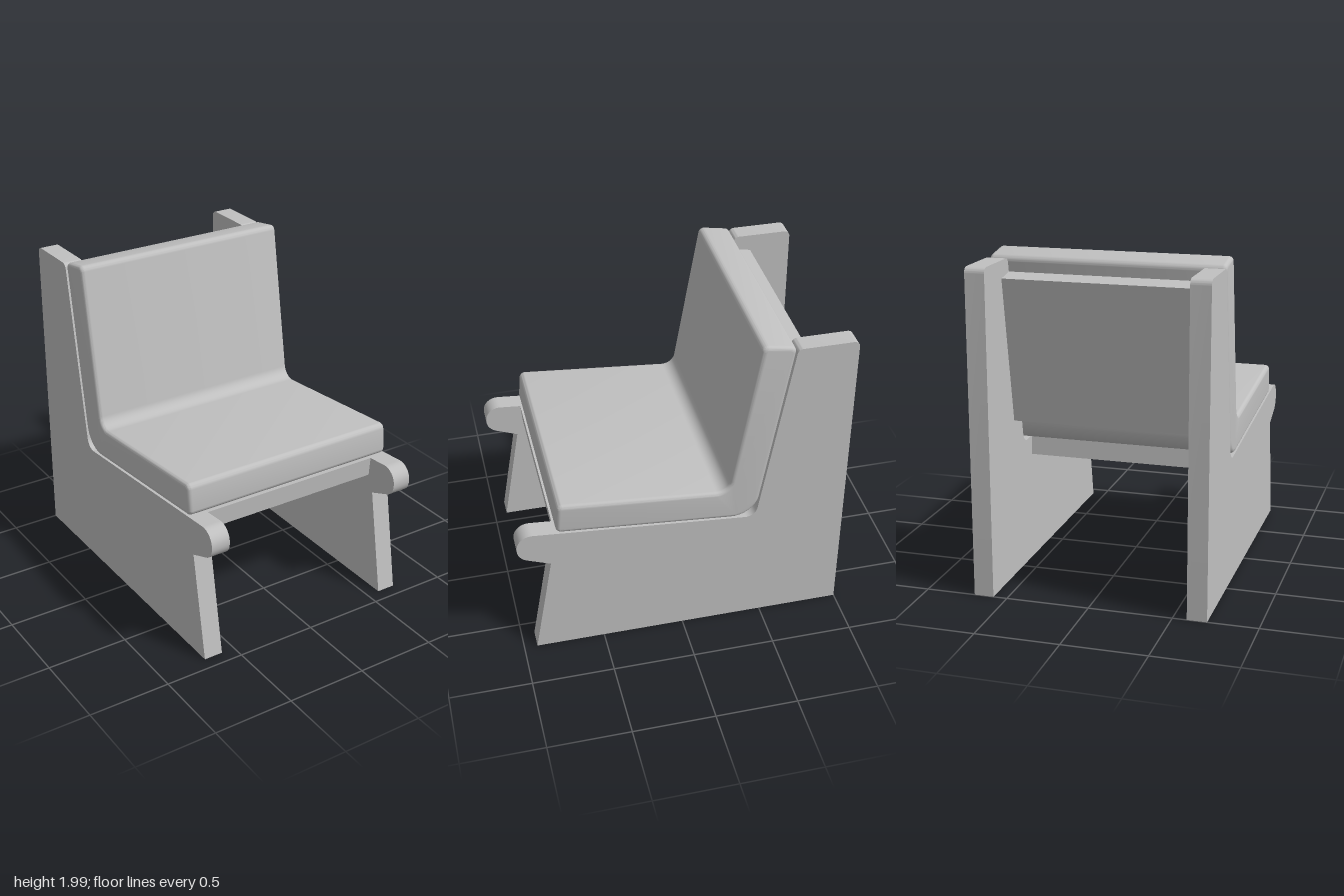
import * as THREE from 'three';
import { toCreasedNormals } from 'three/addons/utils/BufferGeometryUtils.js';

// Closed outline from corners [z, y, radius], each corner filleted by its radius
function roundedShape(corners) {
  const shape = new THREE.Shape();
  const n = corners.length;
  corners.forEach(([z, y, r = 0], i) => {
    const c = new THREE.Vector2(z, y);
    const toward = ([pz, py]) => new THREE.Vector2(pz, py).sub(c).normalize();
    const d1 = toward(corners[(i + n - 1) % n]);
    const d2 = toward(corners[(i + 1) % n]);
    const angle = Math.acos(d1.dot(d2));
    const t = r / Math.tan(angle / 2);
    const h = t - (4 / 3) * Math.tan((Math.PI - angle) / 4) * r;
    const at = (d, s) => c.clone().addScaledVector(d, s);
    const start = at(d1, t);
    if (i === 0) shape.moveTo(start.x, start.y);
    else shape.lineTo(start.x, start.y);
    if (r > 0) {
      const a = at(d1, h), b = at(d2, h), end = at(d2, t);
      shape.bezierCurveTo(a.x, a.y, b.x, b.y, end.x, end.y);
    }
  });
  shape.closePath();
  return shape;
}

// Side profile extruded across the chair, centred on x; optional soft edge
function slab(name, corners, width, material, bevel = 0) {
  const geometry = new THREE.ExtrudeGeometry(roundedShape(corners), {
    depth: width - 2 * bevel,
    curveSegments: 10,
    bevelEnabled: bevel > 0,
    bevelThickness: bevel,
    bevelSize: bevel,
    bevelOffset: -bevel,
    bevelSegments: 5,
  });
  geometry.translate(0, 0, bevel - width / 2);
  geometry.rotateY(-Math.PI / 2);
  const mesh = new THREE.Mesh(toCreasedNormals(geometry, 0.6), material);
  mesh.name = name;
  return mesh;
}

export function createModel() {
  const chair = new THREE.Group();
  chair.name = 'lowChair';
  const grey = new THREE.MeshStandardMaterial({ color: 0xc0c0c0 });
  grey.name = 'light grey';

  // Side panels: legs, armless seat rail with rounded nose, and tall back post
  const sideProfile = [
    [0.92, 0], [0.805, 0.66], [1.0, 0.737, 0.09], [1.0, 0.905, 0.09],
    [-0.443, 0.779, 0.07], [-0.64, 1.95, 0.035], [-1, 1.95, 0.035], [-1, 0],
  ];
  for (const [name, s] of [['leftSidePanel', 1], ['rightSidePanel', -1]]) {
    const panel = slab(name, sideProfile, 0.118, grey);
    panel.position.x = s * 0.643;
    chair.add(panel);
  }

  // One-piece bent cushion
  chair.add(slab('cushion', [
    [0.766, 0.885, 0.035], [0.749, 1.082, 0.035], [-0.271, 0.992, 0.08],
    [-0.438, 1.994, 0.035], [-0.638, 1.96, 0.035], [-0.441, 0.779, 0.16],
  ], 1.4, grey, 0.025));

  // Boards spanning the panels under the seat and behind the back
  chair.add(slab('seatBoard', [
    [0.772, 0.885], [0.762, 0.765], [-0.312, 0.67], [-0.302, 0.79],
  ], 1.17, grey));
  chair.add(slab('backBoard', [
    [-0.621, 1.867], [-0.745, 1.847], [-0.597, 0.965], [-0.475, 0.985],
  ], 1.17, grey));

  return chair;
}
